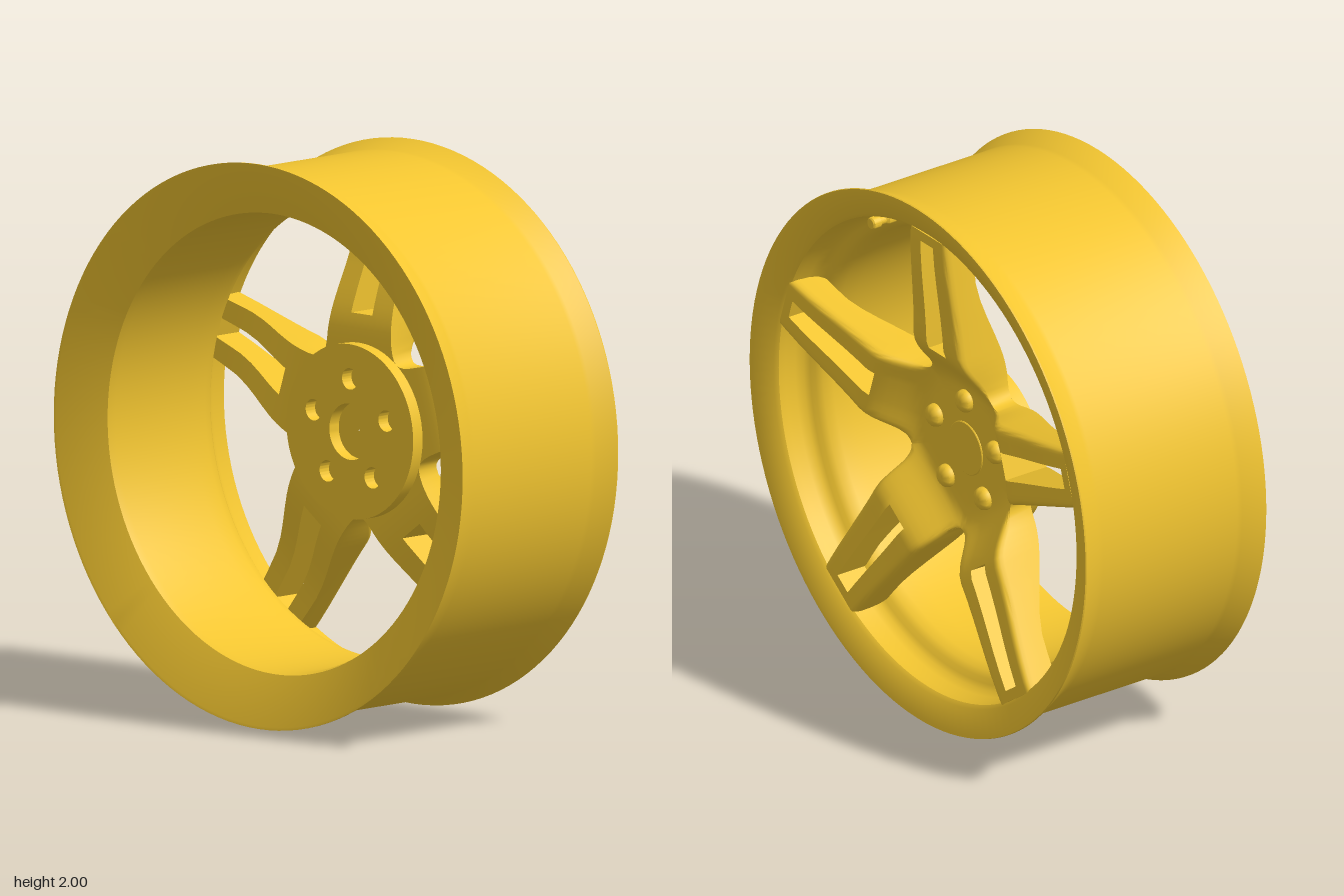
import * as THREE from 'three';
import { toCreasedNormals } from 'three/addons/utils/BufferGeometryUtils.js';

const material = new THREE.MeshStandardMaterial({ color: 0xf2c530 });
const { smoothstep, lerp } = THREE.MathUtils;
const SPOKES = 5;
const STEP = (Math.PI * 2) / SPOKES;
const SLOT_IN = 0.41, SLOT_OUT = 0.85, TIP = 0.888;

function addMesh(parent, name, geometry) {
  const mesh = new THREE.Mesh(geometry, material);
  mesh.name = name;
  parent.add(mesh);
  return mesh;
}

// Piecewise-linear lookup in a short list of [position, value]
function sample(list, t) {
  for (let i = 1; i < list.length; i++) {
    const [a, va] = list[i - 1], [b, vb] = list[i];
    if (t <= b) return lerp(va, vb, (t - a) / (b - a));
  }
  return list[list.length - 1][1];
}

// Rim: closed profile [axial x, radius] turned about the axle
function rimGeometry() {
  const profile = [
    [-0.39, 1], [-0.385, 1], [-0.31, 0.967], [-0.29, 0.965], [0.29, 0.965], [0.31, 0.967], [0.385, 1], [0.39, 0.998],
    [0.388, 0.985], [0.358, 0.9], [0.345, 0.887], [0.32, 0.882], [0.28, 0.878], [0.25, 0.868], [0.235, 0.852],
    [0.225, 0.835], [0.205, 0.818], [0.17, 0.808], [0.1, 0.805], [-0.28, 0.807], [-0.31, 0.815], [-0.388, 0.99], [-0.39, 1],
  ].map(([x, r]) => new THREE.Vector2(r, x));
  const geometry = new THREE.LatheGeometry(profile, 128);
  geometry.rotateZ(-Math.PI / 2);
  return toCreasedNormals(geometry, 0.5);
}

// Half width of a spoke; inside the hub it fills its whole sector
const ROOT = 0.25;
const widths = [[ROOT, ROOT * Math.tan(STEP / 2)], [0.262, 0.171], [0.28, 0.163], [0.31, 0.157],
  [0.36, 0.152], [0.5, 0.139], [0.7, 0.122], [TIP, 0.108]];
const halfWidth = (v) => (v <= ROOT ? v * Math.tan(STEP / 2) : sample(widths, v));
const slotHalf = (v) => Math.min(halfWidth(v) * 0.35, sample([[0, 0.055], [SLOT_IN, 0.052], [SLOT_OUT, 0.037], [1, 0.037]], v));

// Dished front surface and sloping back surface
function frontX(u, v) {
  const r = (v + Math.hypot(u, v)) / 2;
  return 0.18 + 0.135 * smoothstep(r, 0.22, 0.45) + 0.037 * smoothstep(r, 0.4, TIP);
}
const backX = (v) => 0.115 + 0.115 * smoothstep(v, 0.32, 0.75);

// Hub and five slotted spokes as one smooth skin
function spokesGeometry() {
  const rows = [0.002, 0.06, 0.12, 0.18, 0.215, 0.235, ROOT, 0.262, 0.28, 0.295, 0.31, 0.335, 0.36, 0.385,
    SLOT_IN, 0.44, 0.5, 0.57, 0.64, 0.71, 0.78, SLOT_OUT, TIP];
  const rail = [0, 0.25, 0.5, 0.7, 0.82, 0.9, 0.96, 1];
  const drop = [0, 0, 0, 0, 0.002, 0.007, 0.016, 0.03];
  const last = rail.length - 1;
  const columns = [];
  for (let i = last; i >= 0; i--) columns.push([-1, i]);
  for (let i = 0; i <= last; i++) columns.push([1, i]);
  const positions = [];
  let angle = 0;

  const put = (x, v, u) => {
    const c = Math.cos(angle), s = Math.sin(angle);
    positions.push(x, v * c - u * s, v * s + u * c);
  };
  const quad = (a, b, c, d) => [a, b, c, a, c, d].forEach((p) => put(...p));
  const point = (v, [side, i], back) => {
    const u = side * lerp(slotHalf(v), halfWidth(v), rail[i]);
    const rounding = drop[i] * smoothstep(v, 0.24, 0.33);
    return [back ? backX(v) : frontX(u, v) - rounding, v, u];
  };

  for (let k = 0; k < SPOKES; k++) {
    angle = k * STEP;
    for (let j = 0; j < rows.length - 1; j++) {
      const v0 = rows[j], v1 = rows[j + 1];
      const open = v0 >= SLOT_IN && v1 <= SLOT_OUT;
      for (let i = 0; i < columns.length - 1; i++) {
        if (open && i === last) continue;
        const a = columns[i], b = columns[i + 1];
        quad(point(v0, a), point(v1, a), point(v1, b), point(v0, b));
        quad(point(v0, b, true), point(v1, b, true), point(v1, a, true), point(v0, a, true));
      }
      // Outer flanks and slot flanks
      const wall = (c, flip) => {
        const q = [point(v0, c), point(v0, c, true), point(v1, c, true), point(v1, c)];
        quad(...(flip ? q.reverse() : q));
      };
      if (v0 >= ROOT) {
        wall([1, last], true);
        wall([-1, last], false);
      }
      if (open) {
        wall([1, 0], false);
        wall([-1, 0], true);
      }
    }
    // Slot ends and spoke tip
    const endWall = (v, a, b, flip) => {
      const q = [point(v, a), point(v, a, true), point(v, b, true), point(v, b)];
      quad(...(flip ? q.reverse() : q));
    };
    endWall(SLOT_IN, [-1, 0], [1, 0], false);
    endWall(SLOT_OUT, [-1, 0], [1, 0], true);
    for (let i = 0; i < columns.length - 1; i++) endWall(TIP, columns[i], columns[i + 1], false);
  }
  const geometry = new THREE.BufferGeometry();
  geometry.setAttribute('position', new THREE.Float32BufferAttribute(positions, 3));
  return toCreasedNormals(geometry, 0.6);
}

// Mounting pad behind the hub, with centre bore and bolt holes
function padGeometry() {
  const shape = new THREE.Shape().absarc(0, 0, 0.31, 0, Math.PI * 2, false);
  const hole = (x, y, r) => shape.holes.push(new THREE.Path().absarc(x, y, r, 0, Math.PI * 2, true));
  hole(0, 0, 0.1);
  for (let k = 0; k < SPOKES; k++) hole(Math.sin(k * STEP) * 0.187, Math.cos(k * STEP) * 0.187, 0.038);
  const geometry = new THREE.ExtrudeGeometry(shape, { depth: 0.05, bevelEnabled: false, curveSegments: 32 });
  geometry.rotateY(Math.PI / 2);
  geometry.translate(0.068, 0, 0);
  return toCreasedNormals(geometry, 0.6);
}

// Turned part along the x axis from [axial x, radius] points
function turned(points, segments) {
  const geometry = new THREE.LatheGeometry(points.map(([x, r]) => new THREE.Vector2(r, x)), segments);
  geometry.rotateZ(-Math.PI / 2);
  return toCreasedNormals(geometry, 0.6);
}

export function createModel() {
  const wheel = new THREE.Group();
  wheel.name = 'wheel';
  const body = new THREE.Group();
  body.name = 'wheelBody';
  body.position.y = 1;
  wheel.add(body);

  addMesh(body, 'rim', rimGeometry());
  addMesh(body, 'hubAndSpokes', spokesGeometry());
  addMesh(body, 'mountingPad', padGeometry());
  addMesh(body, 'centreCap', turned([[0.15, 0.1], [0.182, 0.1], [0.185, 0.097], [0.185, 0]], 48));

  // Domed wheel bolts
  const bolt = turned([[0.16, 0.042], [0.188, 0.042], [0.2, 0.038], [0.209, 0.028], [0.214, 0.014], [0.215, 0]], 24);
  for (let k = 0; k < SPOKES; k++) {
    const mesh = addMesh(body, 'bolt', bolt);
    mesh.position.set(0, Math.cos(k * STEP) * 0.187, Math.sin(k * STEP) * 0.187);
  }

  // Valve stem standing out of the rim ledge
  const valve = addMesh(body, 'valveStem', turned(
    [[-0.1, 0.022], [0.02, 0.022], [0.03, 0.015], [0.055, 0.015], [0.057, 0.023], [0.085, 0.023], [0.09, 0.018], [0.09, 0]], 20));
  valve.position.set(0.235, 0.77, 0.37);
  return wheel;
}
